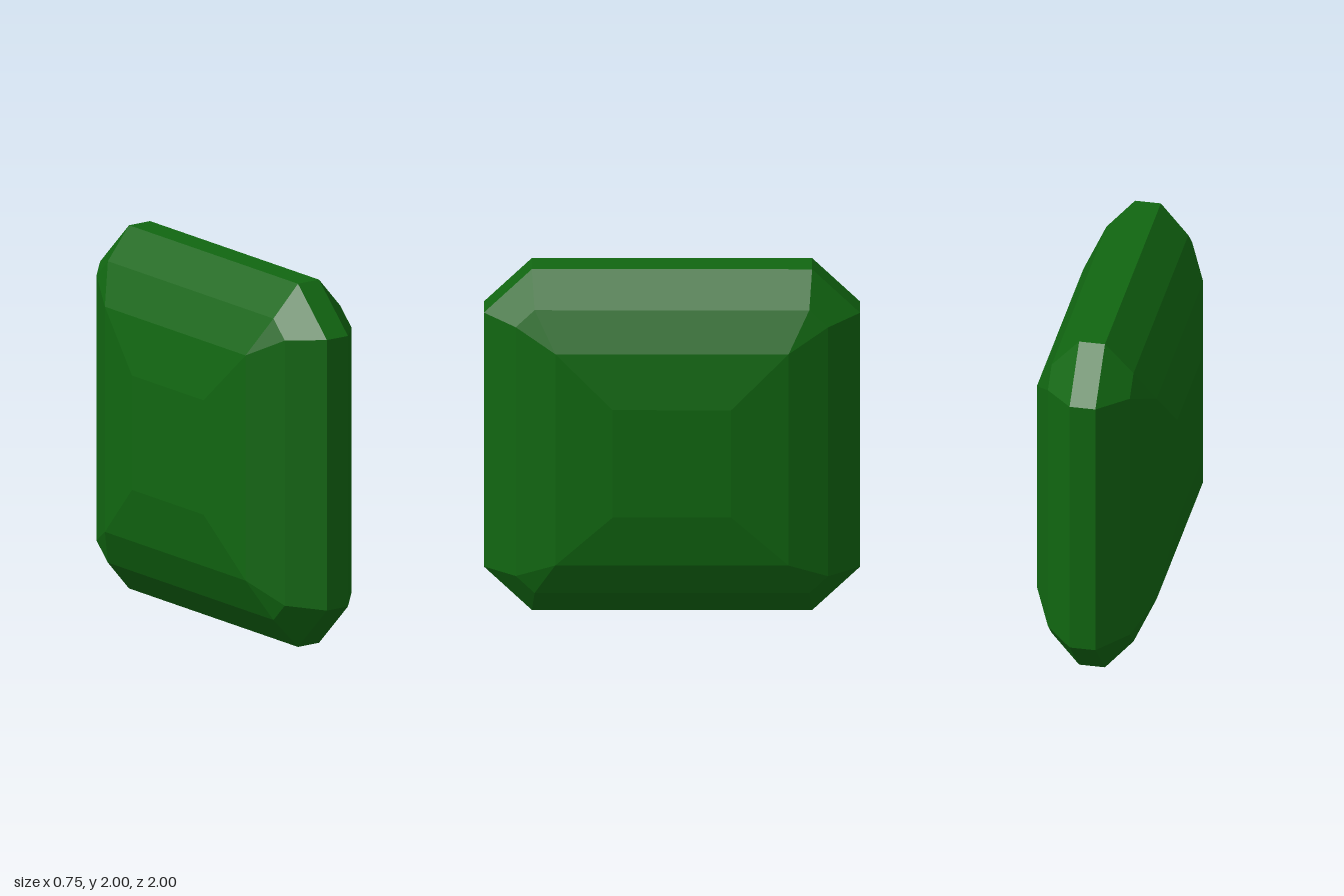
import * as THREE from 'three';

// Gem cross-sections from the rim outwards: x, half width, where the cut corner starts
const LEVELS = [
  [0.07, 1, 0.745],
  [0.222, 0.83, 0.73],
  [0.325, 0.62, 0.62],
  [0.375, 0.315, 0.315],
];

// Square ring with cut corners, counter-clockwise as seen from +x
function ring([x, h, c]) {
  return [[h, -c], [h, c], [c, h], [-c, h], [-h, c], [-h, -c], [-c, -h], [c, -h]]
    .map(([y, z]) => new THREE.Vector3(x, y + 1, z));
}

// Joins rings listed in order of rising x; optionally closes the last or first one
function facets(levels, capStart, capEnd) {
  const rings = levels.map(ring);
  const pos = [];
  const tri = (a, b, c) => {
    if (a.equals(b) || b.equals(c) || c.equals(a)) return;
    for (const p of [a, b, c]) pos.push(p.x, p.y, p.z);
  };
  for (let k = 0; k + 1 < rings.length; k++) {
    const a = rings[k], b = rings[k + 1];
    for (let i = 0; i < 8; i++) {
      const j = (i + 1) % 8;
      tri(a[i], a[j], b[j]);
      tri(a[i], b[j], b[i]);
    }
  }
  const first = rings[0], last = rings[rings.length - 1];
  for (let i = 1; i < 7; i++) {
    if (capStart) tri(first[0], first[i + 1], first[i]);
    if (capEnd) tri(last[0], last[i], last[i + 1]);
  }
  const g = new THREE.BufferGeometry();
  g.setAttribute('position', new THREE.Float32BufferAttribute(pos, 3));
  g.computeVertexNormals();
  return g;
}

export function createModel() {
  const model = new THREE.Group();
  model.name = 'cutGem';
  const green = new THREE.MeshStandardMaterial({ color: 0x116611, flatShading: true });
  green.name = 'emeraldGreen';

  const add = (name, geometry) => {
    const mesh = new THREE.Mesh(geometry, green);
    mesh.name = name;
    model.add(mesh);
  };

  const flip = ([x, h, c]) => [-x, h, c];
  add('leftCrown', facets(LEVELS, false, true));
  add('rightCrown', facets(LEVELS.map(flip).reverse(), true, false));
  // Flat band around the widest part
  add('girdle', facets([flip(LEVELS[0]), LEVELS[0]], false, false));
  return model;
}
